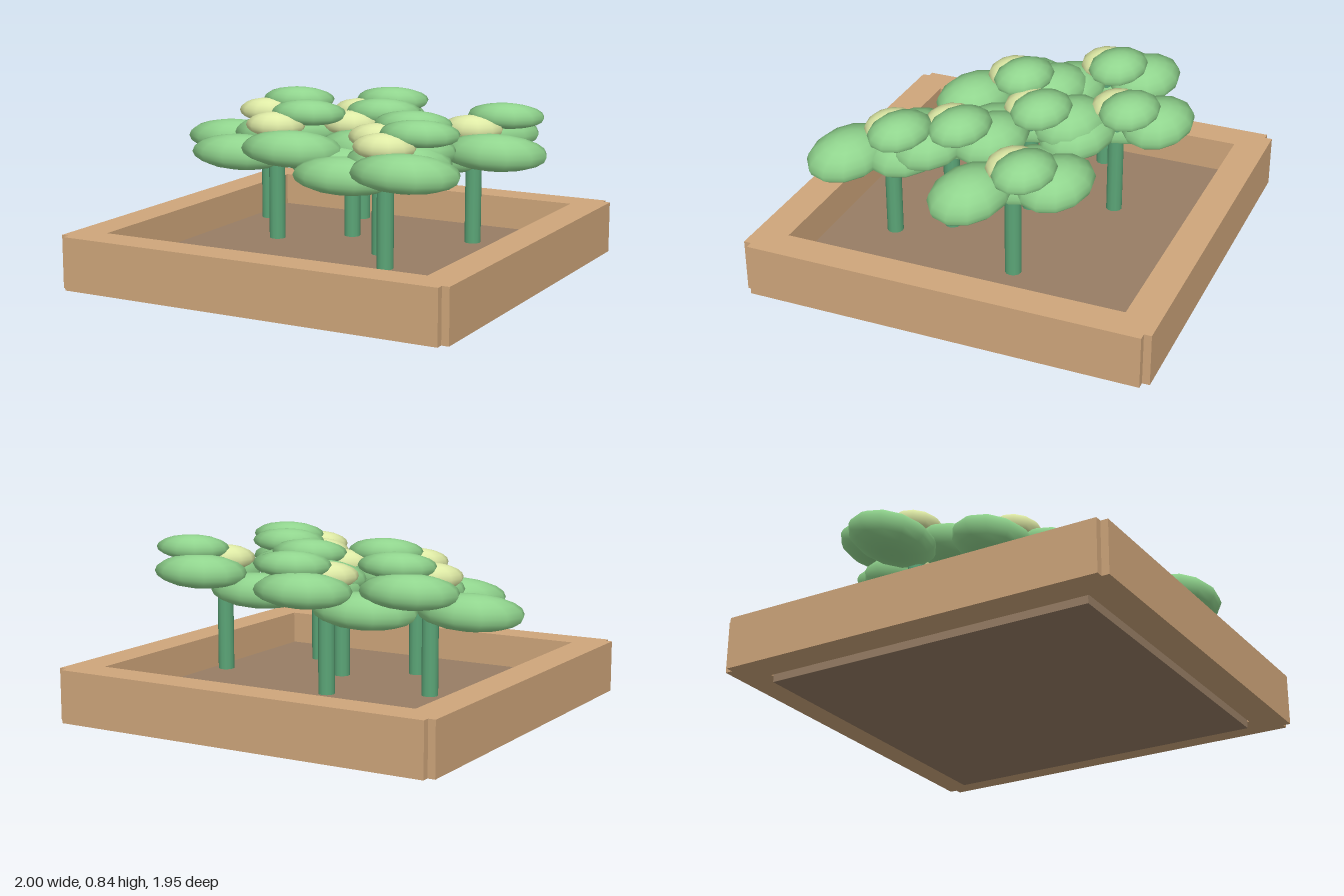
import * as THREE from 'three';

const paint = (color) => new THREE.MeshStandardMaterial({ color });
const wood = paint(0xcfa67b);
const soil = paint(0x987e65);
const bark = paint(0x5ba577);
const leaf = paint(0x91d58e);
const paleLeaf = paint(0xdfeba6);

function add(parent, name, geometry, material, x, y, z) {
  const mesh = new THREE.Mesh(geometry, material);
  mesh.name = name;
  mesh.position.set(x, y, z);
  parent.add(mesh);
  return mesh;
}

// Flattened ball that keeps the normals of a round one, for soft, full shading
function clumpGeometry(rx, ry, rz) {
  const geometry = new THREE.SphereGeometry(1, 12, 10);
  const roundNormals = geometry.attributes.normal.clone();
  geometry.scale(rx, ry, rz);
  geometry.setAttribute('normal', roundNormals);
  return geometry;
}

// Leaf clumps: name, offset from trunk (x, y, z), geometry, material
const clumps = [
  ['leftLeaves', -0.198, 0.588, 0.003, clumpGeometry(0.257, 0.082, 0.172), leaf],
  ['backLeaves', 0, 0.692, -0.202, clumpGeometry(0.24, 0.078, 0.162), leaf],
  ['frontLeaves', 0.16, 0.652, 0.133, clumpGeometry(0.257, 0.082, 0.172), leaf],
  ['paleLeaves', -0.005, 0.735, 0.002, clumpGeometry(0.148, 0.059, 0.118), paleLeaf],
  ['topLeaves', 0.115, 0.787, -0.102, clumpGeometry(0.19, 0.058, 0.135), leaf],
];

const soilTop = 0.125;
const trunkBase = 0.19;
const trunkTop = 0.65;
const trunkGeometry = new THREE.CylinderGeometry(0.038, 0.038, trunkTop - trunkBase, 12);

function makeTree(x, z) {
  const tree = new THREE.Group();
  tree.name = 'tree';
  tree.position.set(x, 0, z);
  add(tree, 'trunk', trunkGeometry, bark, 0, (trunkBase + trunkTop) / 2, 0);
  for (const [name, cx, cy, cz, geometry, material] of clumps) {
    add(tree, name, geometry, material, cx, cy, cz);
  }
  return tree;
}

export function createModel() {
  const model = new THREE.Group();
  model.name = 'planterWithTrees';
  const midX = 0.017;

  // Soil bed, slightly smaller than the opening of the frame
  add(model, 'soilBed', new THREE.BoxGeometry(1.615, soilTop, 1.615), soil, midX, soilTop / 2, 0);

  // Frame of four boards, notched at the corners
  const sideBoard = new THREE.BoxGeometry(0.16, 0.25, 1.88);
  const endBoard = new THREE.BoxGeometry(1.88, 0.25, 0.16);
  for (const s of [-1, 1]) {
    add(model, s > 0 ? 'leftBoard' : 'rightBoard', sideBoard, wood, midX + s * 0.895, 0.158, 0);
    add(model, s > 0 ? 'frontBoard' : 'backBoard', endBoard, wood, midX, 0.158, s * 0.895);
  }

  // Grove of identical trees
  const spots = [
    [-0.546, -0.212], [-0.126, -0.418], [0.018, -0.042], [-0.276, 0.165],
    [0.309, 0.232], [0.454, 0.462], [0.582, -0.192],
  ];
  for (const [x, z] of spots) model.add(makeTree(x, z));

  return model;
}
